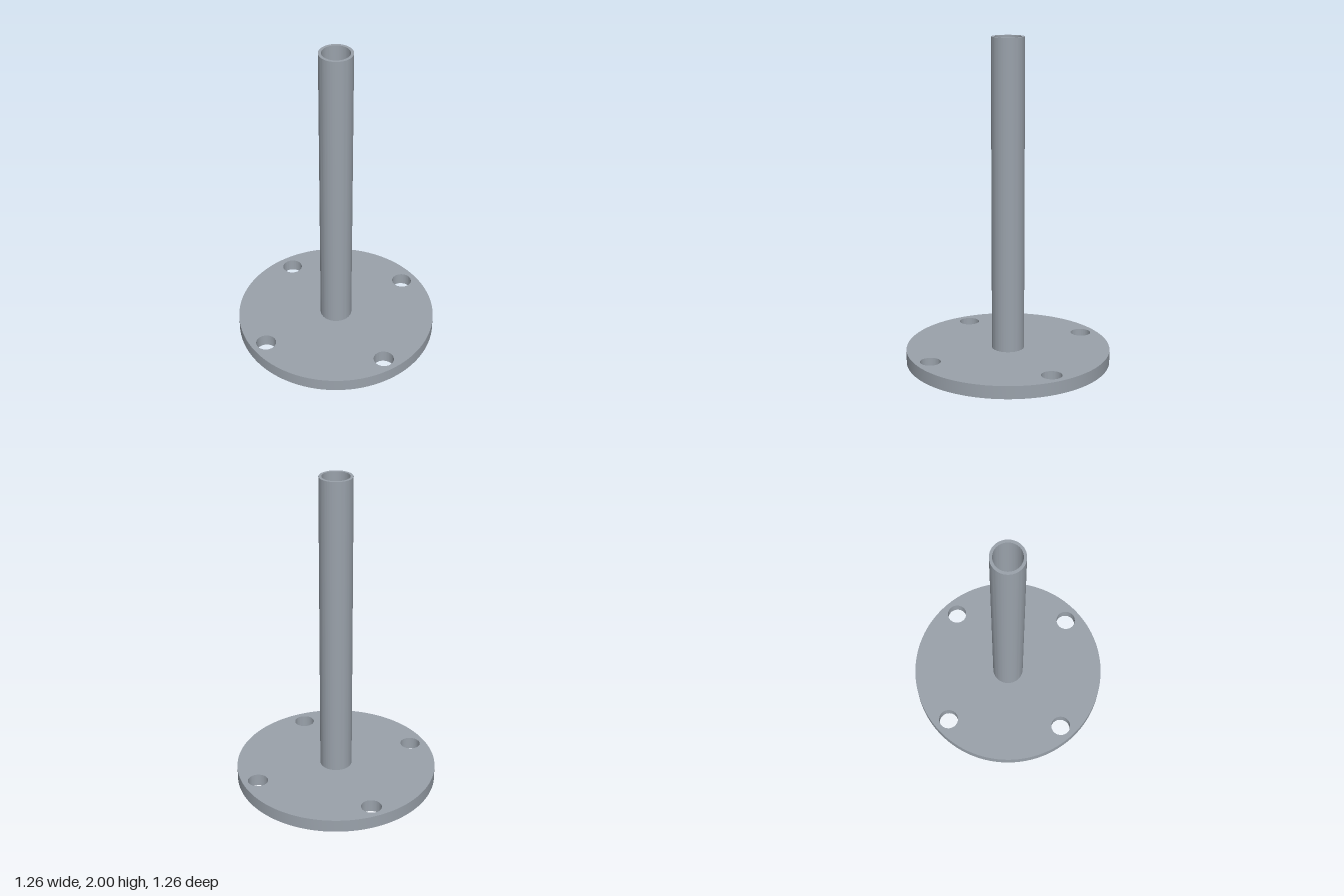
import * as THREE from 'three';
import { toCreasedNormals } from 'three/addons/utils/BufferGeometryUtils.js';

// Upright disc of the given height, pierced by round holes [x, z, radius]
function piercedDisc(radius, height, holes) {
  const shape = new THREE.Shape().absarc(0, 0, radius, 0, Math.PI * 2, false);
  for (const [x, z, r] of holes) {
    shape.holes.push(new THREE.Path().absarc(x, -z, r, 0, Math.PI * 2, true));
  }
  const geometry = new THREE.ExtrudeGeometry(shape, {
    depth: height, bevelEnabled: false, curveSegments: 72,
  });
  geometry.rotateX(-Math.PI / 2);
  return toCreasedNormals(geometry, Math.PI / 6);
}

export function createModel() {
  const group = new THREE.Group();
  const steel = new THREE.MeshStandardMaterial({ color: 0x9aa2ab });
  steel.name = 'steel grey';

  const plateHeight = 0.08;
  const boltCircle = 0.532;

  // Round base plate with four bolt holes
  const boltHoles = [];
  for (let i = 0; i < 4; i++) {
    const a = (i * Math.PI) / 2;
    boltHoles.push([boltCircle * Math.cos(a), boltCircle * Math.sin(a), 0.063]);
  }
  const basePlate = new THREE.Mesh(piercedDisc(0.63, plateHeight, boltHoles), steel);
  basePlate.name = 'basePlate';
  group.add(basePlate);

  // Hollow post standing on the plate, open at the top
  const post = new THREE.Mesh(piercedDisc(0.1, 2 - plateHeight, [[0, 0, 0.083]]), steel);
  post.name = 'hollowPost';
  post.position.y = plateHeight;
  group.add(post);

  return group;
}
